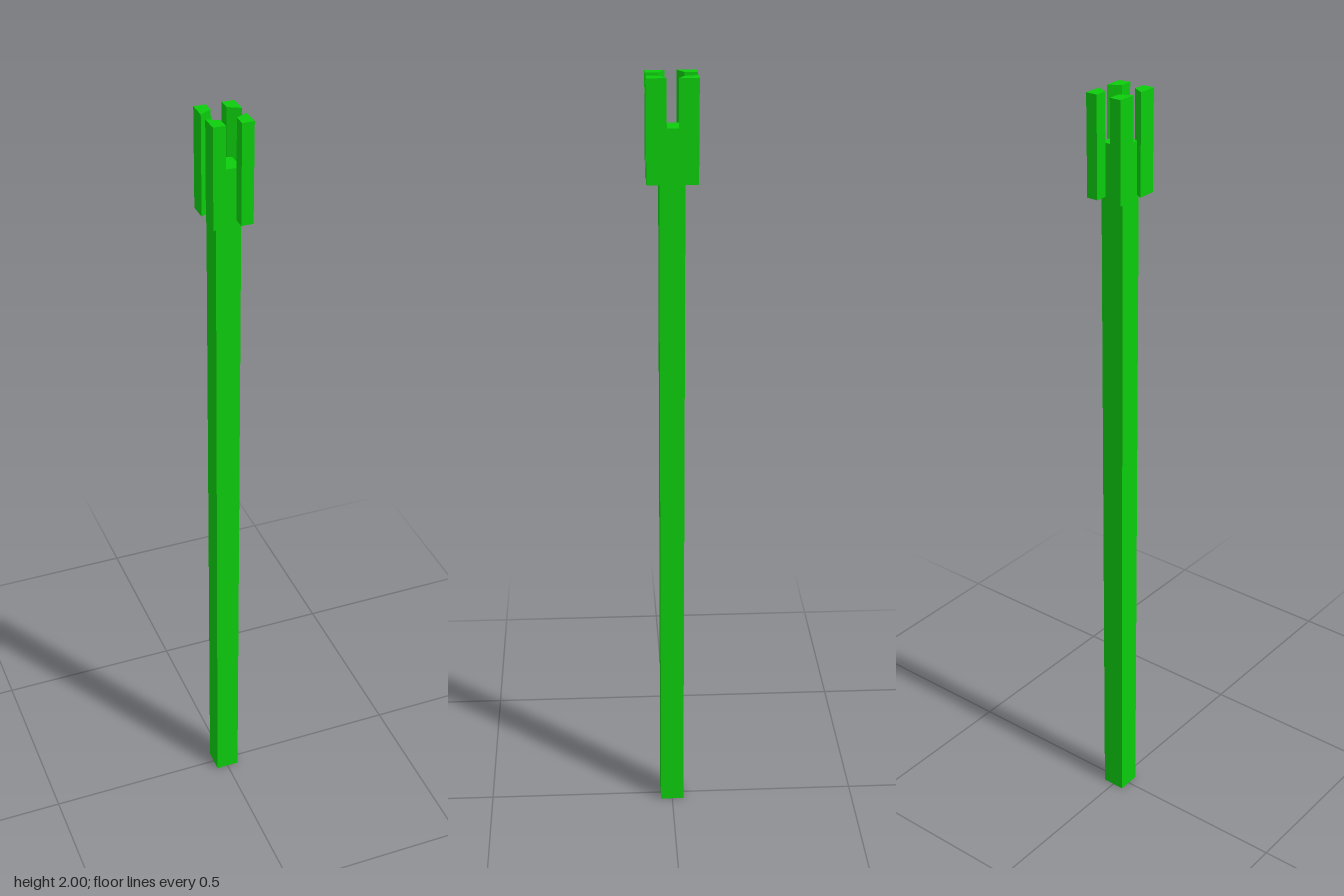
import * as THREE from 'three';

const POST_HALF = 0.031, POST_TOP = 1.88;
const PRONG_BOTTOM = 1.75, PRONG_TOP = 2;

export function createModel() {
  const group = new THREE.Group();
  const green = new THREE.MeshStandardMaterial({ color: 0x0ccc0c, flatShading: true });
  green.name = 'green';

  // Square post
  const post = new THREE.Mesh(new THREE.BoxGeometry(POST_HALF * 2, POST_TOP, POST_HALF * 2), green);
  post.name = 'post';
  post.position.y = POST_TOP / 2;
  group.add(post);

  // Four upright prongs around the top, each with a slanted inner face
  const outline = [[0.019, 0.062], [0.049, 0.062], [0.049, 0.014], [0.019, 0.031]];
  for (const [side, sx] of [['Left', 1], ['Right', -1]]) {
    for (const [end, sz] of [['front', 1], ['back', -1]]) {
      const shape = new THREE.Shape(outline.map(([x, z]) => new THREE.Vector2(sx * x, -sz * z)));
      const geometry = new THREE.ExtrudeGeometry(shape, { depth: PRONG_TOP - PRONG_BOTTOM, bevelEnabled: false });
      geometry.rotateX(-Math.PI / 2);
      const prong = new THREE.Mesh(geometry, green);
      prong.name = `${end}${side}Prong`;
      prong.position.y = PRONG_BOTTOM;
      group.add(prong);
    }
  }
  return group;
}
